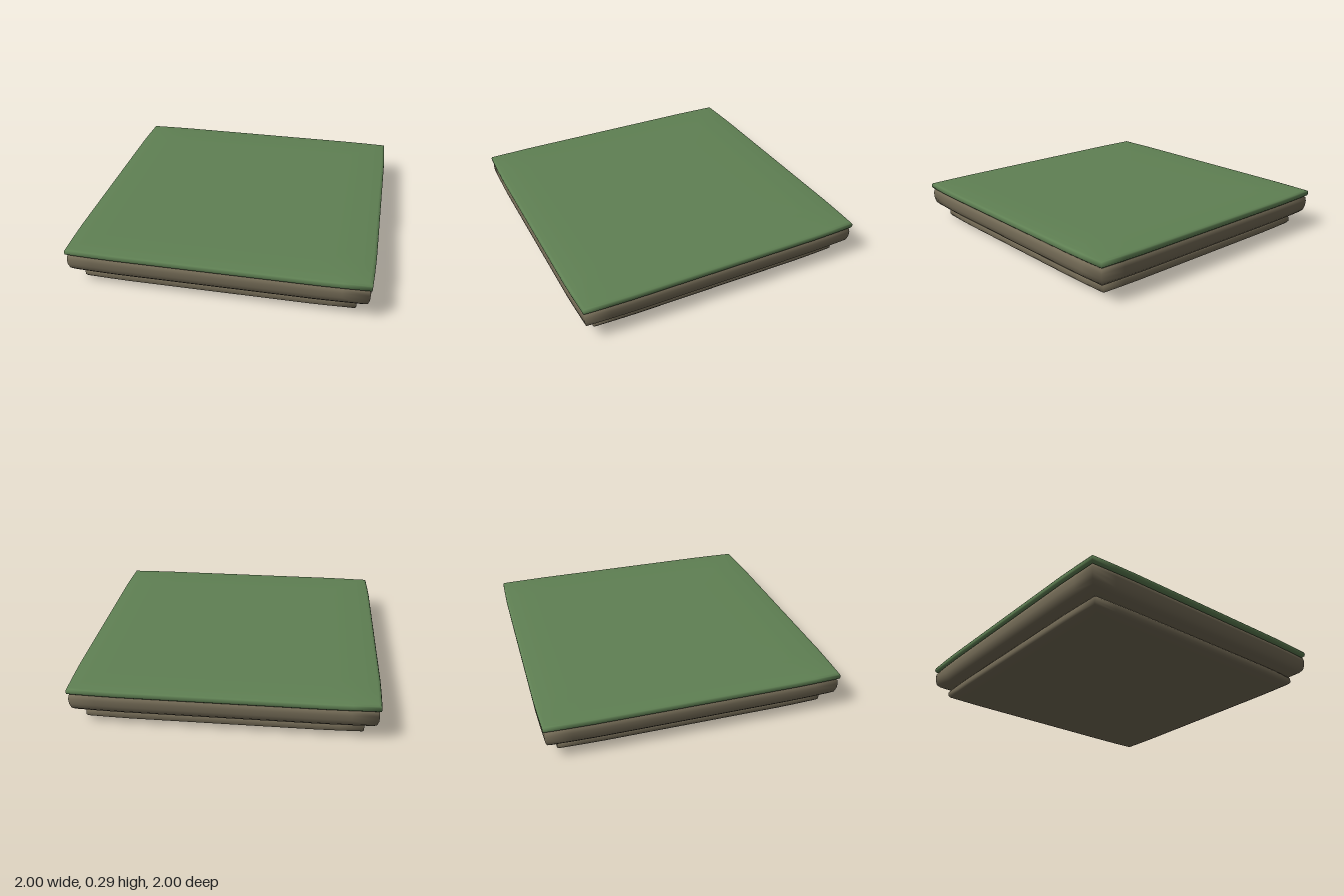
import * as THREE from 'three';
import { mergeVertices } from 'three/addons/utils/BufferGeometryUtils.js';

const grass = new THREE.MeshStandardMaterial({ color: 0x5f8053 });
const earth = new THREE.MeshStandardMaterial({ color: 0x766d58 });

// Soft square slab: a lathed [half width, height] profile pushed out to a square plan
function slab(name, material, profile) {
  const points = profile.map(([r, y]) => new THREE.Vector2(r, y));
  const lathe = new THREE.LatheGeometry(points, 64);
  const pos = lathe.attributes.position;
  for (let i = 0; i < pos.count; i++) {
    const x = pos.getX(i), z = pos.getZ(i);
    const ax = Math.abs(x), az = Math.abs(z);
    const big = Math.max(ax, az);
    if (big < 1e-6) continue;
    const ratio = Math.min(ax, az) / big;
    // sides bow in slightly towards the corners
    const bow = 1 - 0.01 * THREE.MathUtils.smoothstep(ratio, 0.7, 1);
    const k = (Math.hypot(x, z) / big) * bow;
    pos.setX(i, x * k);
    pos.setZ(i, z * k);
  }
  lathe.deleteAttribute('uv');
  lathe.deleteAttribute('normal');
  const geometry = mergeVertices(lathe, 1e-4);
  geometry.computeVertexNormals();
  const mesh = new THREE.Mesh(geometry, material);
  mesh.name = name;
  return mesh;
}

export function createModel() {
  const model = new THREE.Group();
  model.name = 'groundTile';

  model.add(
    // stepped foot
    slab('lowerEarth', earth, [
      [0, 0], [0.72, 0], [0.82, 0.005], [0.88, 0.011], [0.9, 0.019], [0.91, 0.033],
      [0.91, 0.062], [0.9, 0.076], [0.88, 0.083], [0.72, 0.088], [0, 0.088],
    ]),
    // thick earth layer
    slab('upperEarth', earth, [
      [0, 0.083], [0.72, 0.083], [0.86, 0.089], [0.93, 0.095], [0.96, 0.105], [0.98, 0.125],
      [0.99, 0.16], [0.992, 0.195], [0.988, 0.22], [0.97, 0.235], [0.9, 0.242], [0, 0.245],
    ]),
    // grass top
    slab('grassTop', grass, [
      [0, 0.225], [0.96, 0.225], [0.985, 0.228], [0.997, 0.237], [1, 0.248], [1, 0.262],
      [0.995, 0.271], [0.98, 0.276], [0.9, 0.281], [0.82, 0.284], [0.74, 0.286], [0, 0.286],
    ]),
  );
  return model;
}
